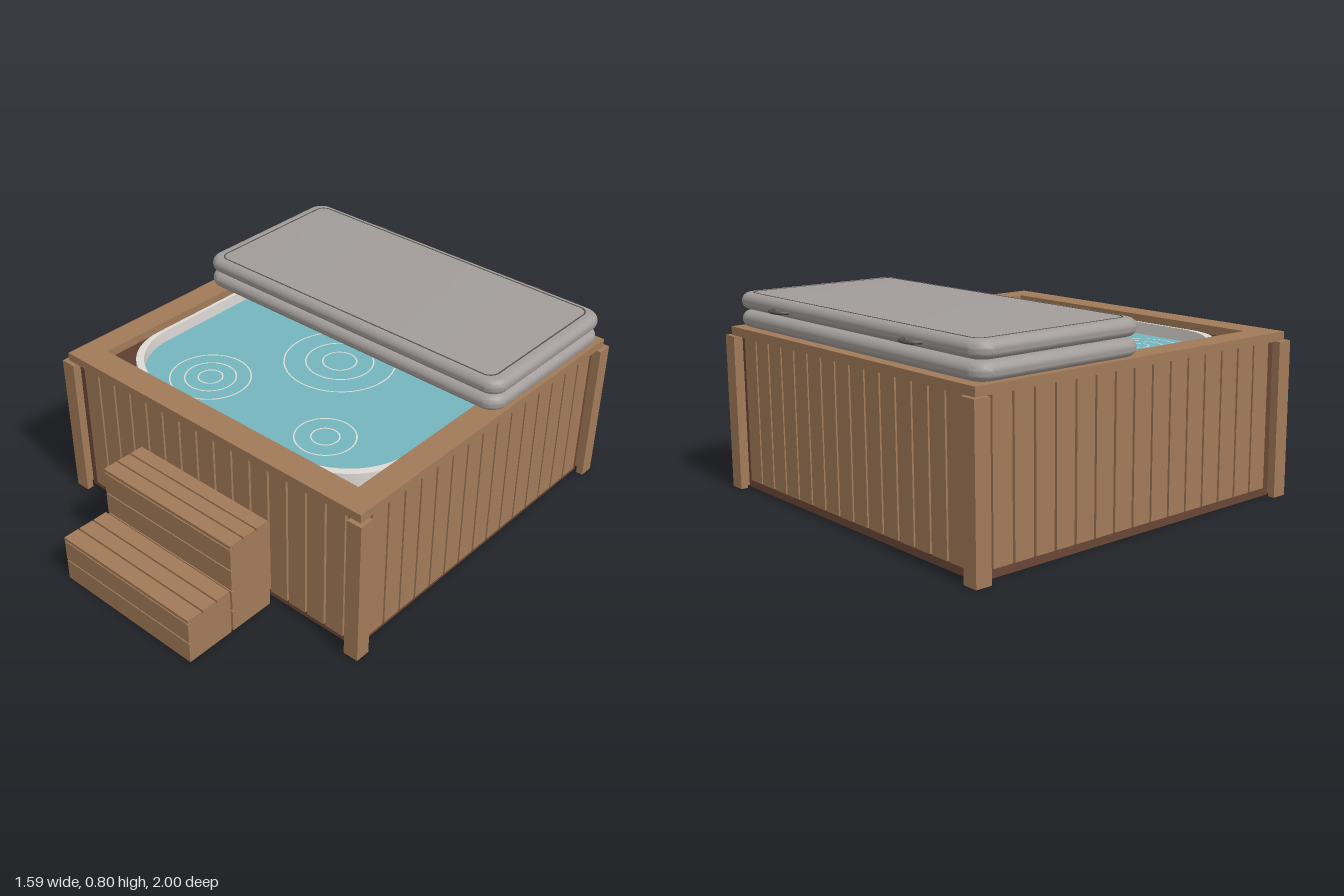
import * as THREE from 'three';
import { toCreasedNormals } from 'three/addons/utils/BufferGeometryUtils.js';

const mat = (name, color) => Object.assign(new THREE.MeshStandardMaterial({ color }), { name });

export function createModel() {
  const wood = mat('cedar wood', 0xa27a58);
  const dark = mat('dark wood', 0x6a4636);
  const shellMat = mat('tub shell', 0xdedad6);
  const waterMat = mat('water', 0x74b5be);
  const coverMat = mat('cover vinyl', 0xa29d9a);
  const trim = mat('cover trim', 0x54504d);

  const model = new THREE.Group();
  model.name = 'hotTub';
  const tub = new THREE.Group();
  tub.name = 'tub';
  tub.position.z = -0.207;
  model.add(tub);

  function add(parent, name, geometry, material, x = 0, y = 0, z = 0) {
    const mesh = new THREE.Mesh(geometry, material);
    mesh.name = name;
    mesh.position.set(x, y, z);
    parent.add(mesh);
    return mesh;
  }
  // Box given by its minimum and maximum corners
  function box(parent, name, material, x0, x1, y0, y1, z0, z1) {
    return add(parent, name, new THREE.BoxGeometry(x1 - x0, y1 - y0, z1 - z0), material,
      (x0 + x1) / 2, (y0 + y1) / 2, (z0 + z1) / 2);
  }
  // Rounded rectangle outline from half sizes and corner radius
  function roundRect(a, b, r, Type = THREE.Shape) {
    const s = new Type();
    s.moveTo(a, -b + r);
    s.lineTo(a, b - r);
    s.absarc(a - r, b - r, r, 0, Math.PI / 2);
    s.lineTo(-a + r, b);
    s.absarc(-a + r, b - r, r, Math.PI / 2, Math.PI);
    s.lineTo(-a, -b + r);
    s.absarc(-a + r, -b + r, r, Math.PI, Math.PI * 1.5);
    s.lineTo(a - r, -b);
    s.absarc(a - r, -b + r, r, Math.PI * 1.5, Math.PI * 2);
    return s;
  }
  // Upright extrusion of a plan outline, rising from y = 0
  function rise(shape, height, options = {}) {
    const g = new THREE.ExtrudeGeometry(shape, { depth: height, bevelEnabled: false, curveSegments: 8, ...options });
    g.rotateX(-Math.PI / 2);
    return toCreasedNormals(g, 0.6);
  }
  function ringShape(outer, inner) {
    outer.holes.push(inner);
    return outer;
  }
  const square = (h, Type = THREE.Shape) =>
    new Type([[h, -h], [h, h], [-h, h], [-h, -h]].map(p => new THREE.Vector2(...p)));

  // Dark inner walls, open underneath
  add(tub, 'innerWalls', rise(ringShape(square(0.745), square(0.705, THREE.Path)), 0.63), dark);

  // Four sides of planks, corner posts and top rails
  const post = new THREE.Shape([[0.728, 0.763], [0.763, 0.763], [0.763, 0.728], [0.793, 0.728],
    [0.793, 0.793], [0.728, 0.793]].map(p => new THREE.Vector2(...p)));
  const postGeo = rise(post, 0.63);
  const count = 15, pitch = 1.4 / count;
  for (let s = 0; s < 4; s++) {
    const side = new THREE.Group();
    side.name = 'sidePanel';
    side.rotation.y = s * Math.PI / 2;
    tub.add(side);
    for (let i = 0; i < count; i++) {
      const x = -0.7 + i * pitch;
      box(side, 'plank', wood, x + 0.005, x + pitch - 0.005, 0.04, 0.63, 0.74, 0.763);
    }
    add(side, 'cornerPost', postGeo, wood);
  }
  for (const d of [-1, 1]) {
    const rail = new THREE.BoxGeometry(1.55, 0.035, 0.115);
    add(tub, 'endRail', rail, wood, 0, 0.6475, d * 0.7175);
    add(tub, 'sideRail', new THREE.BoxGeometry(0.108, 0.035, 1.32), wood, d * 0.721, 0.6475, 0);
  }

  // Tub shell, floor and water
  const inner = Type => roundRect(0.648, 0.648, 0.3, Type);
  add(tub, 'shellWall', rise(ringShape(roundRect(0.664, 0.66, 0.27), inner(THREE.Path)), 0.59), shellMat, 0, 0.045, 0);
  add(tub, 'shellFloor', rise(inner(THREE.Shape), 0.03), shellMat, 0, 0.045, 0);
  add(tub, 'water', rise(inner(THREE.Shape), 0.01), waterMat, 0, 0.575, 0);

  // Ripples: centre x, centre z, then ring radii
  const ripples = [
    [-0.31, 0.43, [0.165, 0.105, 0.05]],
    [0.31, 0.43, [0.12, 0.055]],
    [0, -0.01, [0.23, 0.14, 0.07]],
    [-0.36, -0.3, [0.16, 0.09]],
    [0.36, -0.35, [0.12, 0.06]],
  ];
  for (const [x, z, radii] of ripples) {
    for (const r of radii) {
      const g = new THREE.RingGeometry(r - 0.003, r + 0.003, 40);
      g.rotateX(-Math.PI / 2);
      add(tub, 'ripple', g, shellMat, x, 0.5875, z);
    }
  }

  // Folded cover: two padded slabs with piping and handles
  const cover = new THREE.Group();
  cover.name = 'foldedCover';
  cover.position.z = -0.587;
  model.add(cover);
  const bevel = 0.032;
  const slab = toCreasedNormals(rise(roundRect(0.772 - bevel, 0.374 - bevel, 0.04), 0.002, {
    bevelEnabled: true, bevelThickness: bevel, bevelSize: bevel, bevelSegments: 6,
  }), 0.6);
  add(cover, 'lowerSlab', slab, coverMat, 0, 0.665 + bevel, 0);
  add(cover, 'upperSlab', slab, coverMat, 0, 0.737 + bevel, 0);
  const piping = ringShape(roundRect(0.723, 0.339, 0.045), roundRect(0.717, 0.333, 0.04, THREE.Path));
  add(cover, 'piping', rise(piping, 0.004), trim, 0, 0.8, 0);
  for (const d of [-1, 1]) {
    const path = new THREE.CatmullRomCurve3([[-0.05, -0.37], [-0.032, -0.405], [0.032, -0.405], [0.05, -0.37]]
      .map(([x, z]) => new THREE.Vector3(x, 0, z)));
    add(cover, 'handle', new THREE.TubeGeometry(path, 12, 0.007, 6), trim, d * 0.42, 0.763, 0);
  }

  // Steps: dark core with wooden cheeks, risers and treads
  function step(name, z0, z1, h, riserStart) {
    const g = new THREE.Group();
    g.name = name;
    model.add(g);
    box(g, 'core', dark, -0.33, 0.33, 0.012, h - 0.012, z0 + 0.004, z1 - 0.012);
    box(g, 'base', wood, -0.334, 0.334, 0, 0.012, z0 + 0.002, z1 - 0.012);
    box(g, 'back', wood, -0.334, 0.334, 0.012, h - 0.014, z0, z0 + 0.01);
    for (const d of [-1, 1]) {
      add(g, 'cheek', new THREE.BoxGeometry(0.014, h - 0.014, z1 - z0 - 0.014), wood,
        d * 0.338, (h - 0.014) / 2, (z0 + z1 - 0.014) / 2);
    }
    const risers = Math.round(h / 0.1025), rh = (h - 0.014) / risers;
    for (let i = 0; i < risers; i++) {
      box(g, 'riser', wood, -0.345, 0.345, i * rh, (i + 1) * rh - 0.006, z1 - 0.014, z1);
    }
    const depth = (z1 - z0) / 3;
    for (let i = 0; i < 3; i++) {
      box(g, 'tread', wood, -0.345, 0.345, h - 0.014, h, z0 + i * depth + 0.003, z0 + (i + 1) * depth - (i < 2 ? 0.004 : 0));
    }
  }
  step('upperStep', 0.577, 0.777, 0.412);
  step('lowerStep', 0.787, 1.0, 0.205);

  return model;
}
